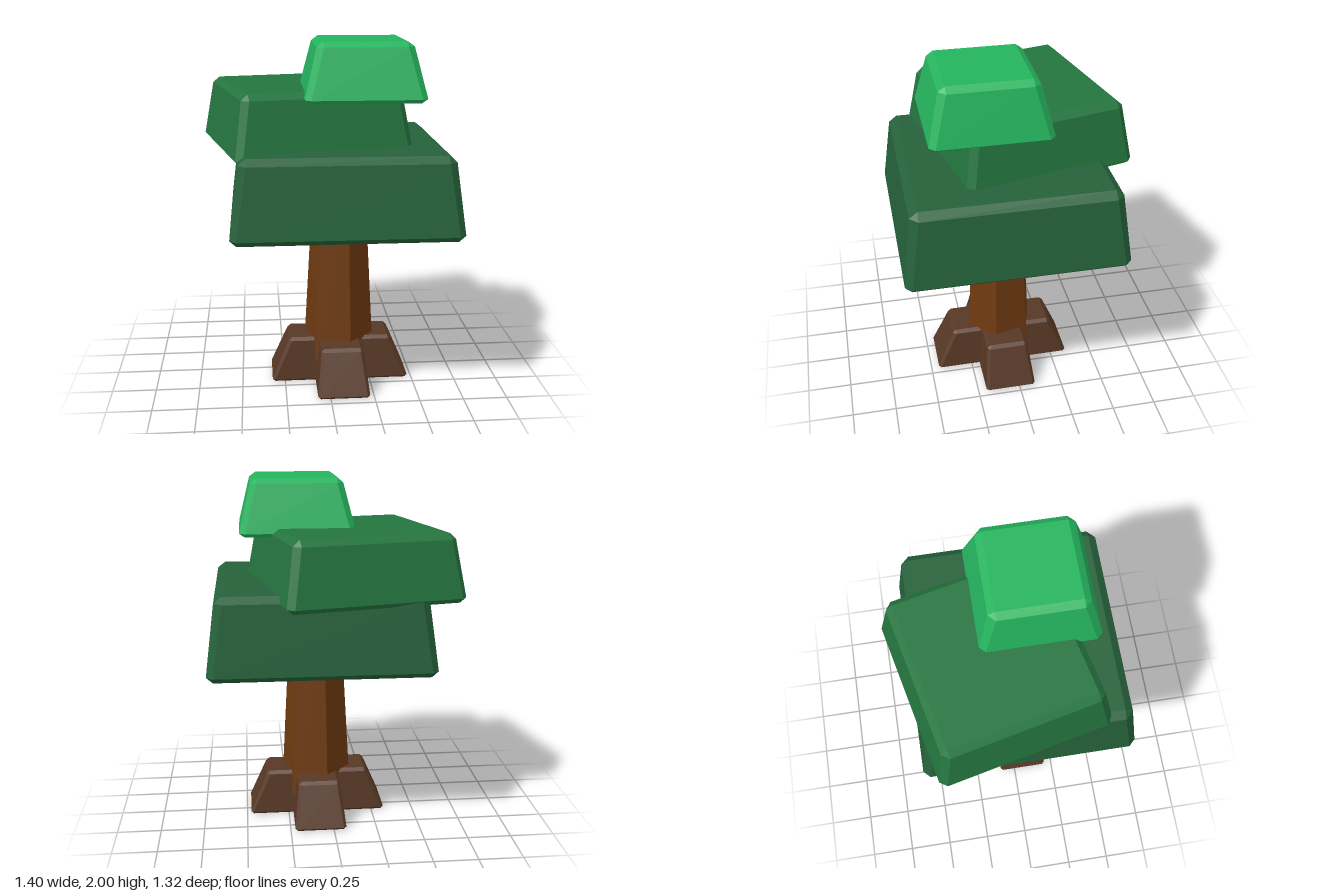
import * as THREE from 'three';

const mat = (name, color) => Object.assign(new THREE.MeshStandardMaterial({ color }), { name });

// Give every face its own flat normal
function faceted(geometry) {
  const g = geometry.index ? geometry.toNonIndexed() : geometry;
  g.computeVertexNormals();
  return g;
}

// Eight points of a rectangle with cut corners, counter-clockwise from above
function ring(hx, hz, c, y) {
  return [
    [hx, hz - c], [hx, -hz + c], [hx - c, -hz], [-hx + c, -hz],
    [-hx, -hz + c], [-hx, hz - c], [-hx + c, hz], [hx - c, hz],
  ].map(([x, z]) => new THREE.Vector3(x, y, z));
}

// Tapered block with bevelled edges.
// low and high are { hx, hz, c, y, cap }: widest outline, bevel, its height and the flat cap's height.
function bevelledBlock(low, high) {
  const rings = [
    ring(low.hx - low.c, low.hz - low.c, 0, low.cap),
    ring(low.hx, low.hz, low.c, low.y),
    ring(high.hx, high.hz, high.c, high.y),
    ring(high.hx - high.c, high.hz - high.c, 0, high.cap),
  ];
  const points = [];
  const tri = (a, b, c) => {
    if (new THREE.Triangle(a, b, c).getArea() > 1e-8) points.push(a, b, c);
  };
  for (let r = 0; r < 3; r++) {
    for (let i = 0; i < 8; i++) {
      const j = (i + 1) % 8;
      tri(rings[r][i], rings[r][j], rings[r + 1][j]);
      tri(rings[r][i], rings[r + 1][j], rings[r + 1][i]);
    }
  }
  for (let i = 1; i < 7; i++) {
    tri(rings[3][0], rings[3][i], rings[3][i + 1]);
    tri(rings[0][0], rings[0][i + 1], rings[0][i]);
  }
  return faceted(new THREE.BufferGeometry().setFromPoints(points));
}

export function createModel() {
  const tree = new THREE.Group();
  tree.name = 'tree';
  const add = (name, geometry, material, x, z, turn = 0) => {
    const mesh = new THREE.Mesh(geometry, material);
    mesh.name = name;
    mesh.position.set(x, 0, z);
    mesh.rotation.y = turn;
    tree.add(mesh);
  };
  const bark = mat('bark brown', 0x6e3a10);
  const rootBrown = mat('root brown', 0x583826);
  const darkLeaf = mat('dark leaf green', 0x25613a);
  const midLeaf = mat('middle leaf green', 0x24753f);
  const lightLeaf = mat('light leaf green', 0x25b45e);
  const cx = 0.076, cz = 0.055;

  // Two crossed root blocks
  const rootBlock = bevelledBlock(
    { hx: 0.4, hz: 0.148, c: 0.015, y: 0.02, cap: 0.005 },
    { hx: 0.302, hz: 0.122, c: 0.02, y: 0.25, cap: 0.267 });
  add('sideRoots', rootBlock, rootBrown, cx, cz);
  add('frontBackRoots', rootBlock, rootBrown, cx, cz, Math.PI / 2);

  // Six-sided tapering trunk
  const trunk = new THREE.CylinderGeometry(0.15, 0.21, 1.07, 6, 1, false, 0.27);
  trunk.translate(0, 0.13 + 0.535, 0);
  add('trunk', faceted(trunk), bark, cx, cz);

  // Three stacked foliage blocks
  add('lowerFoliage', bevelledBlock(
    { hx: 0.619, hz: 0.606, c: 0.036, y: 1.012, cap: 0.98 },
    { hx: 0.57, hz: 0.557, c: 0.044, y: 1.395, cap: 1.43 }), darkLeaf, 0.076, 0.048);
  add('middleFoliage', bevelledBlock(
    { hx: 0.498, hz: 0.487, c: 0.035, y: 1.393, cap: 1.365 },
    { hx: 0.449, hz: 0.438, c: 0.037, y: 1.703, cap: 1.735 }), midLeaf, -0.117, -0.087, 0.217);
  add('topFoliage', bevelledBlock(
    { hx: 0.322, hz: 0.322, c: 0.032, y: 1.708, cap: 1.686 },
    { hx: 0.257, hz: 0.257, c: 0.037, y: 1.973, cap: 2.0 }), lightLeaf, 0.183, 0.154);

  return tree;
}
